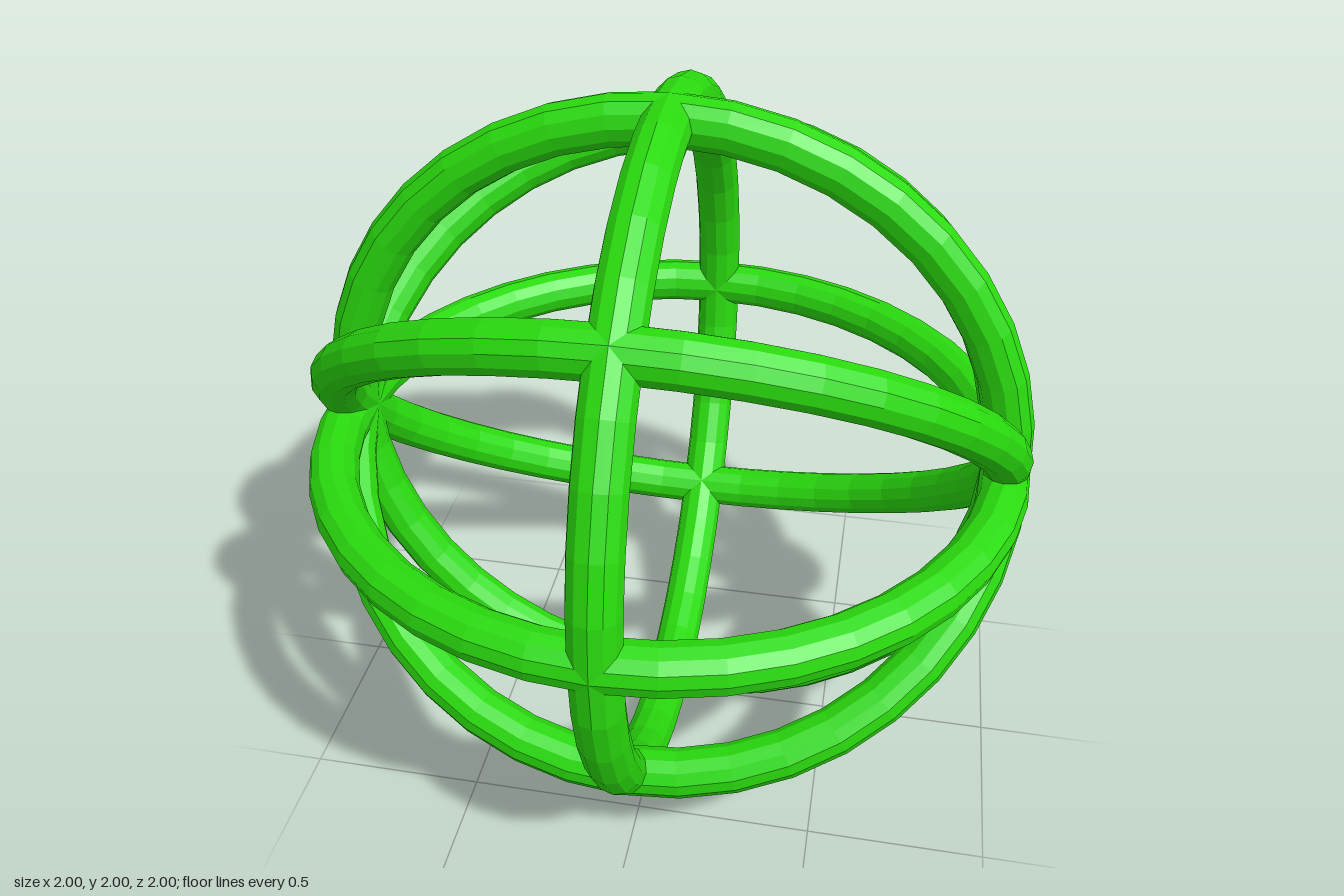
import * as THREE from 'three';

const TUBE = 0.067;          // thickness (radius) of each ring
const RADIUS = 1 - TUBE;     // centre line, so the outside reaches 1

export function createModel() {
  const model = new THREE.Group();
  model.name = 'ringSphere';
  const material = new THREE.MeshStandardMaterial({ color: 0x2adb0e, flatShading: true });
  const geometry = new THREE.TorusGeometry(RADIUS, TUBE, 12, 40);

  function addRing(name, rotX, rotY) {
    const ring = new THREE.Mesh(geometry, material);
    ring.name = name;
    ring.rotation.set(rotX, rotY, 0);
    ring.position.y = 1;
    model.add(ring);
  }

  // Four meridian rings that all meet at the left and right poles
  for (let i = 0; i < 4; i++) addRing(`meridianRing${i + 1}`, i * Math.PI / 4, 0);

  // Equator ring halfway between the poles
  addRing('equatorRing', 0, Math.PI / 2);

  return model;
}
